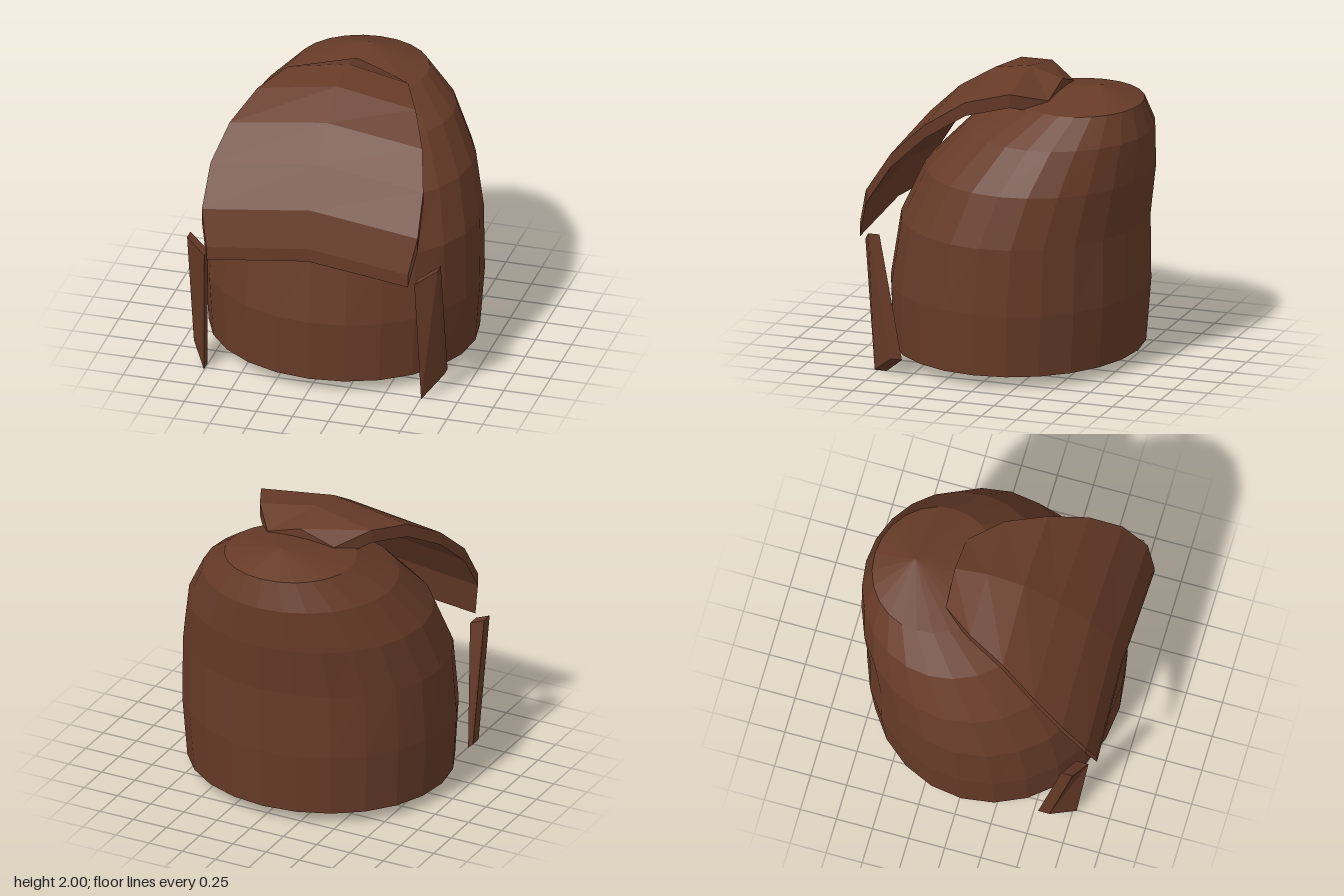
import * as THREE from 'three';

// Closed solid through a list of cross-section loops, each counterclockwise
// when seen from the end of the list. Faceted, with fan caps at both ends.
function loft(loops, startCentre, endCentre) {
  const pos = [];
  const tri = (a, b, c) => pos.push(...a, ...b, ...c);
  const n = loops[0].length;
  const last = loops[loops.length - 1];
  for (let i = 0; i < n; i++) {
    const j = (i + 1) % n;
    for (let s = 0; s < loops.length - 1; s++) {
      const p = loops[s], q = loops[s + 1];
      tri(p[i], p[j], q[j]);
      tri(p[i], q[j], q[i]);
    }
    tri(startCentre, loops[0][j], loops[0][i]);
    tri(endCentre, last[i], last[j]);
  }
  const geo = new THREE.BufferGeometry();
  geo.setAttribute('position', new THREE.Float32BufferAttribute(pos, 3));
  geo.computeVertexNormals();
  return geo;
}

const mid = (...pts) => [0, 1, 2].map(k => pts.reduce((t, p) => t + p[k], 0) / pts.length);

export function createModel() {
  const model = new THREE.Group();
  model.name = 'hair';
  const brown = new THREE.MeshStandardMaterial({ color: 0x673b28, flatShading: true });
  brown.name = 'brown hair';
  const add = (name, geo) => {
    const mesh = new THREE.Mesh(geo, brown);
    mesh.name = name;
    model.add(mesh);
  };

  // Main cap of hair: elliptical rings leaning backwards [y, centre z, rx, rz]
  const rings = [
    [0.09, 0.02, 0.91, 0.84],
    [0.52, 0.01, 0.94, 0.865],
    [0.98, -0.025, 0.925, 0.825],
    [1.33, -0.13, 0.84, 0.765],
    [1.62, -0.275, 0.67, 0.625],
    [1.81, -0.42, 0.45, 0.42],
  ].map(([y, cz, rx, rz]) => Array.from({ length: 24 }, (_, i) => {
    const a = i / 24 * Math.PI * 2;
    return [Math.sin(a) * rx, y, cz + Math.cos(a) * rz];
  }));
  add('hairCap', loft(rings, [0, 0.09, 0.02], [0, 1.915, -0.56]));

  // Fringe: ridged slab from the crown to the brow
  // [centre y, centre z, edge half width, edge y, edge z]
  const thick = 0.093;
  const rows = [
    [1.93, -0.285, 0.25, 1.845, -0.275],
    [2.0, -0.06, 0.42, 1.915, -0.06],
    [1.96, 0.195, 0.55, 1.87, 0.205],
    [1.81, 0.44, 0.67, 1.72, 0.455],
    [1.605, 0.655, 0.74, 1.515, 0.67],
    [1.34, 0.82, 0.75, 1.25, 0.84],
    [1.08, 0.88, 0.70, 1.0, 0.9],
  ].map(([cy, cz, x, y, z]) => [
    [x, y, z], [0, cy, cz], [-x, y, z],
    [-x, y - thick, z], [0, cy - thick, cz], [x, y - thick, z],
  ]);
  const front = rows[rows.length - 1];
  add('fringe', loft(rows, mid(rows[0][1], rows[0][4]), mid(front[1], front[4])));

  // Slanted side locks, mirrored
  const lock = [
    [[0.87, 0.13, 0.62], [0.87, 0.13, 0.54], [0.755, 0.005, 0.69], [0.755, 0.005, 0.775]],
    [[0.87, 0.99, 0.78], [0.87, 0.99, 0.7], [0.73, 0.905, 0.765], [0.73, 0.905, 0.85]],
  ];
  const mirrored = lock.map(l => l.map(([x, y, z]) => [-x, y, z]).reverse());
  add('leftLock', loft(lock, mid(...lock[0]), mid(...lock[1])));
  add('rightLock', loft(mirrored, mid(...mirrored[0]), mid(...mirrored[1])));

  return model;
}
